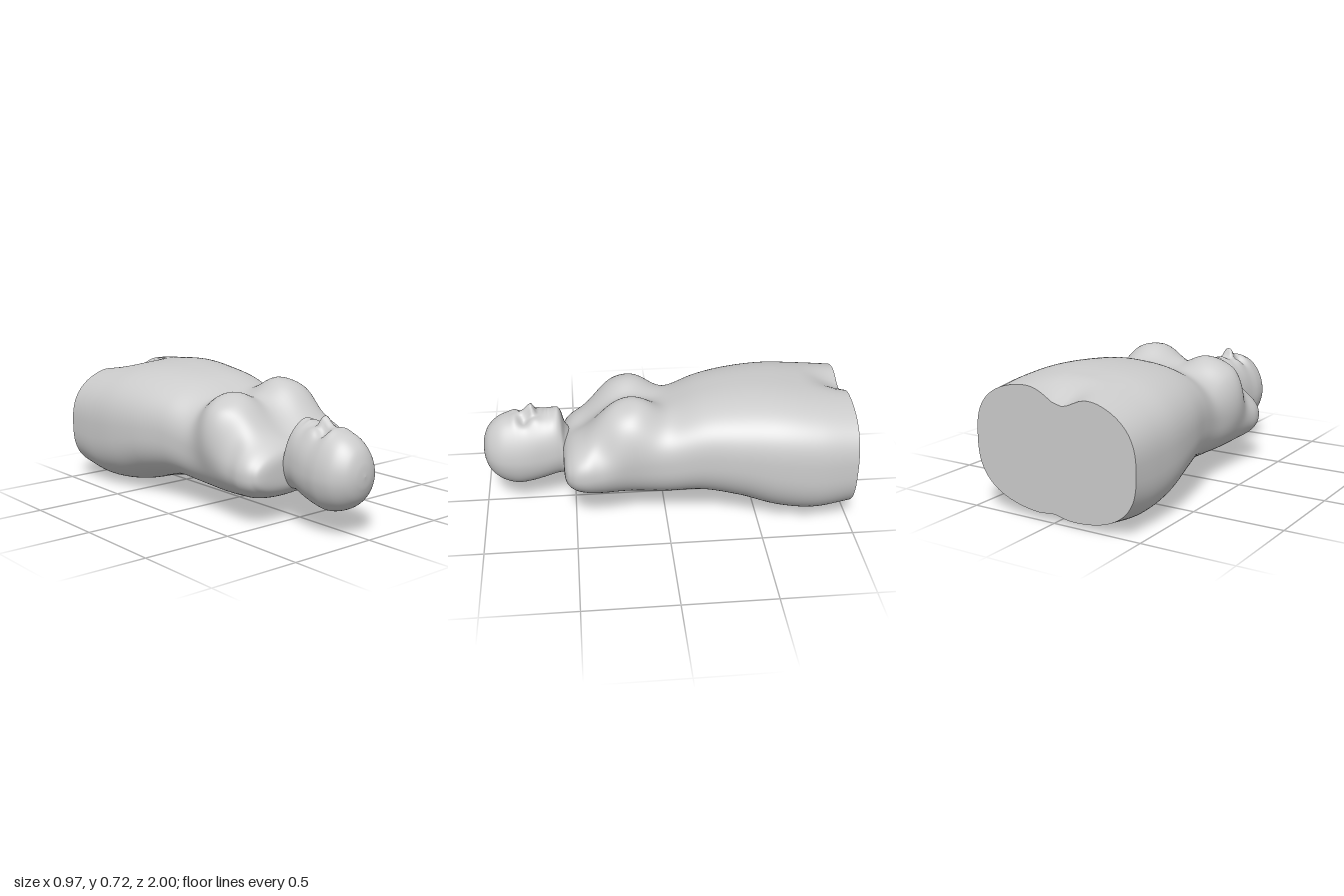
import * as THREE from 'three';

const material = new THREE.MeshStandardMaterial({ color: 0xcccccc });
const step = THREE.MathUtils.smoothstep;
const bell = (v, centre, width) => Math.exp(-(((v - centre) / width) ** 2));
const mound = (dx, dz, width) => Math.exp(-((Math.hypot(dx, dz) / width) ** 3));
const power = (v, e) => Math.sign(v) * Math.abs(v) ** e;

// Lofts rounded sections [z, centre x, half width, low y, high y, squareness],
// then moves every point by the rule in sculpt.
function loft(name, sections, rings, sides, sculpt, capped) {
  const size = sections[0].length;
  const curve = new THREE.CubicInterpolant(sections.map((_, i) => i), sections.flat(), size);
  const positions = [], index = [];
  for (let i = 0; i <= rings; i++) {
    const [z, cx, hw, low, high, square] = curve.evaluate((i / rings) * (sections.length - 1));
    for (let j = 0; j < sides; j++) {
      const a = (j / sides) * Math.PI * 2;
      const p = new THREE.Vector3(
        cx + hw * power(Math.cos(a), 2 / square),
        (low + high) / 2 + ((high - low) / 2) * power(Math.sin(a), 2 / square), z);
      sculpt(p);
      positions.push(p.x, p.y, p.z);
      if (i < rings) {
        const k = (j + 1) % sides, r = i * sides, n = r + sides;
        index.push(r + j, r + k, n + j, r + k, n + k, n + j);
      }
    }
  }
  const geometry = new THREE.BufferGeometry();
  geometry.setAttribute('position', new THREE.Float32BufferAttribute(positions, 3));
  geometry.setIndex(index);
  geometry.computeVertexNormals();
  const group = new THREE.Group();
  group.name = name;
  const skin = new THREE.Mesh(geometry, material);
  skin.name = name + 'Surface';
  group.add(skin);
  if (capped) {
    // flat cut across the first ring
    const cap = new THREE.BufferGeometry();
    cap.setAttribute('position', new THREE.Float32BufferAttribute(
      [...positions.slice(0, sides * 3), 0, 0.33, sections[0][0]], 3));
    const fan = [];
    for (let j = 0; j < sides; j++) fan.push(sides, (j + 1) % sides, j);
    cap.setIndex(fan);
    cap.computeVertexNormals();
    const cut = new THREE.Mesh(cap, material);
    cut.name = 'cutFace';
    group.add(cut);
  }
  return group;
}

// Body, from the cut thighs to the shoulders
const bodySections = [
  [-1.0, -0.005, 0.475, 0.03, 0.675, 2.7],
  [-0.8, 0.0, 0.483, 0.002, 0.695, 2.75],
  [-0.6, -0.005, 0.473, 0.02, 0.712, 2.65],
  [-0.4, -0.01, 0.44, 0.075, 0.706, 2.5],
  [-0.2, -0.005, 0.397, 0.113, 0.675, 2.5],
  [0.0, 0.0, 0.366, 0.106, 0.605, 2.5],
  [0.2, -0.012, 0.355, 0.103, 0.575, 2.4],
  [0.35, -0.005, 0.374, 0.112, 0.535, 2.3],
  [0.44, -0.005, 0.381, 0.13, 0.495, 2.3],
  [0.51, -0.005, 0.355, 0.16, 0.45, 2.3],
  [0.55, -0.01, 0.28, 0.21, 0.395, 2.3],
  [0.56, -0.01, 0.03, 0.29, 0.32, 2.2],
];

function sculptBody(p) {
  const { x, y, z } = p;
  const top = step(y, 0.33, 0.5), bottom = 1 - step(y, 0.1, 0.3);
  // chest
  p.y += top * (0.118 * mound(x - 0.175, z - 0.21, 0.175) + 0.118 * mound(x + 0.25, z - 0.21, 0.175));
  const bulge = x < 0 ? -0.05 : 0.02;
  p.x += bulge * step(Math.abs(x), 0.1, 0.3) * bell(z, 0.2, 0.13) * bell(y, 0.46, 0.13);
  // hollow between chest and shoulder
  p.x -= Math.sign(x) * 0.02 * step(Math.abs(x), 0.15, 0.35) * bell(z, 0.35, 0.08) * bell(y, 0.43, 0.08);
  // hollow at the throat
  p.y -= 0.03 * top * bell(x, -0.04, 0.1) * bell(z, 0.45, 0.1);
  // groove between the thighs, above and below
  p.y -= 0.085 * top * bell(x, -0.05, 0.11) * (1 - step(z, -1.06, -0.76));
  p.y += 0.016 * bottom * bell(x, 0.0, 0.06) * (1 - step(z, -0.75, -0.4));
  // roll to one side, stronger in the upper body
  p.y += (0.055 + 0.045 * step(z, -0.4, 0.2)) * x;
}

// Head and neck, from inside the shoulders to the crown
const headSections = [
  [0.4, -0.03, 0.13, 0.17, 0.4, 2],
  [0.5, -0.03, 0.137, 0.17, 0.41, 2],
  [0.54, -0.032, 0.14, 0.172, 0.45, 2.1],
  [0.565, -0.035, 0.145, 0.172, 0.53, 2.2],
  [0.6, -0.035, 0.152, 0.17, 0.548, 2.3],
  [0.66, -0.038, 0.16, 0.152, 0.54, 2.35],
  [0.74, -0.04, 0.166, 0.13, 0.535, 2.35],
  [0.82, -0.042, 0.17, 0.12, 0.538, 2.3],
  [0.9, -0.042, 0.155, 0.145, 0.515, 2.2],
  [0.96, -0.04, 0.113, 0.195, 0.465, 2.1],
  [0.99, -0.04, 0.06, 0.26, 0.4, 2],
  [1.0, -0.04, 0, 0.33, 0.33, 2],
];

function sculptHead(p) {
  const { x, y, z } = p;
  const cx = -0.045, d = Math.abs(x - cx);
  const face = step(y, 0.4, 0.5);
  // narrower towards the face, most of all at the forehead
  p.x = cx + (x - cx) * (1 - (0.08 + 0.08 * step(z, 0.68, 0.8)) * step(y, 0.28, 0.54));
  // eye sockets, brow and cheeks
  p.y -= 0.026 * face * bell(d, 0.065, 0.038) * bell(z, 0.765, 0.03);
  p.y += 0.008 * face * bell(d, 0.05, 0.06) * bell(z, 0.815, 0.025);
  p.y += 0.012 * face * bell(d, 0.085, 0.035) * bell(z, 0.705, 0.04);
  // nose with nostrils
  const bridge = z > 0.725 ? bell(z, 0.725, 0.045) : bell(z, 0.725, 0.023);
  p.y += 0.057 * face * bridge * Math.exp(-((d / 0.03) ** 3));
  p.y += 0.018 * face * bell(d, 0.03, 0.015) * bell(z, 0.715, 0.018);
  // mouth and chin
  p.y += 0.015 * face * bell(z, 0.635, 0.022) * bell(d, 0, 0.05);
  p.y -= 0.006 * face * bell(z, 0.64, 0.008) * bell(d, 0, 0.045);
  p.y += 0.015 * face * bell(z, 0.58, 0.022) * bell(d, 0, 0.055);
}

export function createModel() {
  const model = new THREE.Group();
  model.name = 'recliningFigure';
  model.add(loft('body', bodySections, 130, 112, sculptBody, true));
  model.add(loft('head', headSections, 150, 128, sculptHead, false));
  return model;
}
